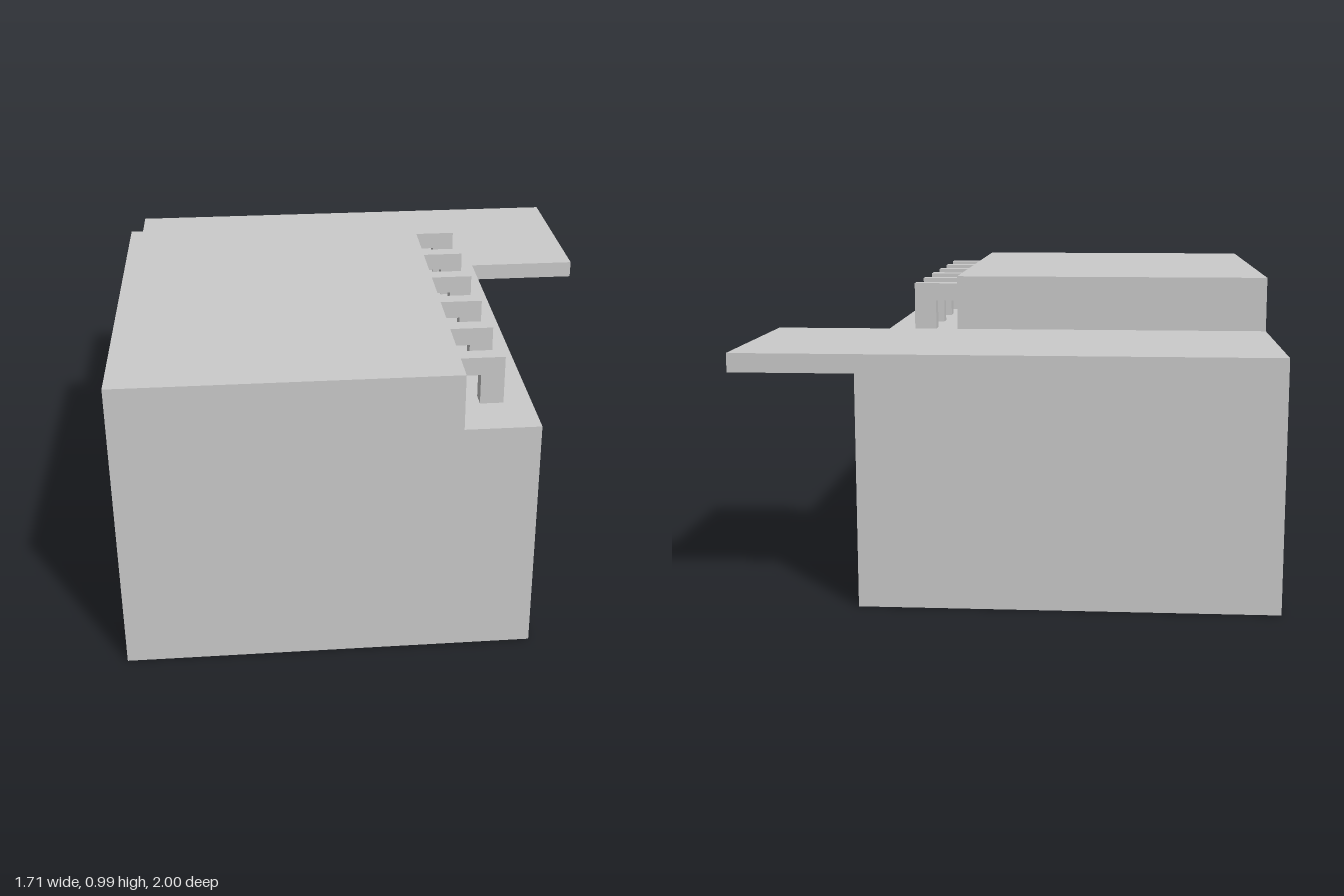
import * as THREE from 'three';

const material = new THREE.MeshStandardMaterial({ color: 0xcccccc, flatShading: true });
const LEFT = -0.855, WALL = 0.46, UPPER = 0.22, STEP = -0.333, RECESS = 0.025;

// Box given by its two extreme corners
function box(name, [x0, y0, z0], [x1, y1, z1]) {
  const geometry = new THREE.BoxGeometry(x1 - x0, y1 - y0, z1 - z0);
  geometry.translate((x0 + x1) / 2, (y0 + y1) / 2, (z0 + z1) / 2);
  const mesh = new THREE.Mesh(geometry, material);
  mesh.name = name;
  return mesh;
}

function polygon(points, Type = THREE.Shape) {
  return new Type(points.map(([x, y]) => new THREE.Vector2(x, y)));
}

// Rectangle in the plane of a side wall, where the shape's x runs along -z
function rect([z0, z1, y0, y1], Type) {
  return polygon([[-z1, y0], [-z0, y0], [-z0, y1], [-z1, y1]], Type);
}

// Wall layer with openings, its outer face at x
function panelWall(name, x, outline, openings) {
  const shape = rect(outline);
  shape.holes = openings.map((o) => rect(o, THREE.Path));
  const geometry = new THREE.ExtrudeGeometry(shape, { depth: RECESS, bevelEnabled: false });
  geometry.rotateY(Math.PI / 2).translate(x - RECESS, 0, 0);
  const mesh = new THREE.Mesh(geometry, material);
  mesh.name = name;
  return mesh;
}

export function createModel() {
  const model = new THREE.Group();
  model.name = 'building';

  // Lower storey: four tall windows, then two rows of garage-like panels
  const lowerOpenings = [
    [-0.63, -0.365, 0.33, 0.72], [-0.965, -0.695, 0.33, 0.72],
    [-0.625, -0.365, 0.03, 0.25], [-0.965, -0.703, 0.03, 0.25],
  ];
  for (let i = 0; i < 4; i++) {
    const z = 0.835 - i * 0.334;
    lowerOpenings.push([z - 0.084, z + 0.084, 0.065, 0.68]);
  }
  model.add(
    box('lowerStorey', [LEFT, 0, -1], [WALL - RECESS, 0.8, 1]),
    panelWall('lowerWindowWall', WALL, [-1, 1, 0, 0.8], lowerOpenings),
  );

  // Upper storey with a row of small windows
  const upperOpenings = [];
  for (let i = 0; i < 6; i++) {
    const z = 0.917 - i * 0.222;
    upperOpenings.push([z - 0.072, z + 0.072, 0.81, 0.89]);
  }
  model.add(
    box('upperStorey', [LEFT, 0.8, STEP], [UPPER - RECESS, 0.985, 1]),
    panelWall('upperWindowWall', UPPER, [STEP, 1, 0.8, 0.985], upperOpenings),
  );

  // Canopy overhanging the rear part of the side wall
  model.add(box('canopy', [WALL, 0.74, -1], [0.855, 0.8, STEP - 0.004]));

  // Row of brackets joining the ledge to the upper wall
  const bracketShape = polygon([
    [UPPER, 0.9], [0.295, 0.9], [0.295, 0.8], [0.37, 0.8], [0.37, 0.96], [UPPER, 0.96],
  ]);
  const bracketGeometry = new THREE.ExtrudeGeometry(bracketShape, { depth: 0.053, bevelEnabled: false });
  const brackets = new THREE.Group();
  brackets.name = 'brackets';
  for (let i = 0; i < 6; i++) {
    const bracket = new THREE.Mesh(bracketGeometry, material);
    bracket.name = 'bracket';
    bracket.position.z = 0.78 - i * 0.2225;
    brackets.add(bracket);
  }
  model.add(brackets);

  return model;
}
